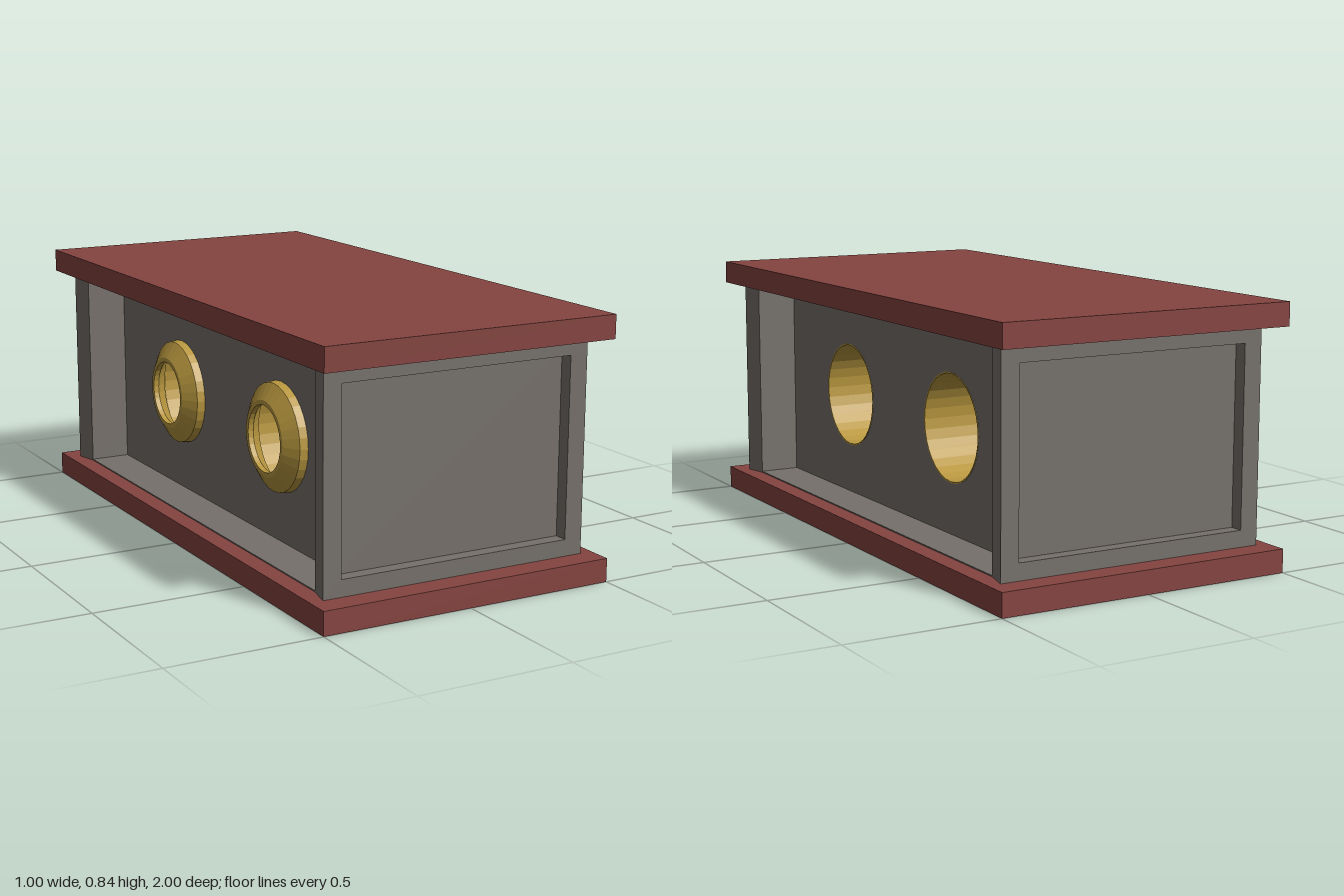
import * as THREE from 'three';

function mat(name, color) {
  const m = new THREE.MeshStandardMaterial({ color, flatShading: true });
  m.name = name;
  return m;
}

export function createModel() {
  const red = mat('brick red', 0x844440);
  const grey = mat('warm grey', 0x75706a);
  const gold = mat('gold', 0xb8973f);
  const model = new THREE.Group();

  const add = (parent, name, geometry, material) => {
    const mesh = new THREE.Mesh(geometry, material);
    mesh.name = name;
    parent.add(mesh);
    return mesh;
  };
  const slab = (name, w, y0, y1, d, material) =>
    add(model, name, new THREE.BoxGeometry(w, y1 - y0, d), material).position.y = (y0 + y1) / 2;
  const rect = (Type, x0, y0, x1, y1) => {
    const p = new Type();
    p.moveTo(x0, y0).lineTo(x1, y0).lineTo(x1, y1).lineTo(x0, y1).closePath();
    return p;
  };

  const Y0 = 0.076, Y1 = 0.764, WALL = 0.303, PORT_Y = 0.422;
  const portZ = [0.375, -0.345];

  // Overhanging base and lid
  slab('basePlate', 1, 0, Y0, 2, red);
  slab('topPlate', 1, Y1, 0.84, 2, red);

  // Thin floor and ceiling linings of the side recesses
  slab('floorLining', 0.88, Y0, Y0 + 0.004, 1.68, grey);
  slab('ceilingLining', 0.88, Y1 - 0.004, Y1, 1.68, grey);

  // Core block, pierced crosswise by two round openings
  const side = rect(THREE.Shape, -0.85, Y0, 0.85, Y1);
  for (const z of portZ) {
    const hole = new THREE.Path();
    hole.absarc(z, PORT_Y, 0.175, 0, Math.PI * 2, true);
    side.holes.push(hole);
  }
  const core = new THREE.ExtrudeGeometry(side, { depth: 2 * WALL, bevelEnabled: false, curveSegments: 32 });
  core.translate(0, 0, -WALL).rotateY(-Math.PI / 2);
  add(model, 'coreBlock', core, grey);

  // End boards: slightly flared sides, with a sunken panel
  const flare = (g) => {
    const p = g.attributes.position;
    for (let i = 0; i < p.count; i++) {
      if (Math.abs(p.getX(i)) < 0.42) continue;
      p.setX(i, Math.sign(p.getX(i)) * (0.44 + 0.018 * (p.getZ(i) - 0.84) / 0.08));
    }
    g.computeVertexNormals();
    return g;
  };
  const frameShape = rect(THREE.Shape, -0.45, Y0, 0.45, Y1);
  frameShape.holes.push(rect(THREE.Path, -0.397, 0.13, 0.397, 0.71));
  const frame = new THREE.ExtrudeGeometry(frameShape, { depth: 0.045, bevelEnabled: false });
  flare(frame.translate(0, 0, 0.875));
  const panel = new THREE.BoxGeometry(0.9, Y1 - Y0, 0.035);
  flare(panel.translate(0, (Y0 + Y1) / 2, 0.8575));
  ['frontEnd', 'backEnd'].forEach((name, i) => {
    const end = new THREE.Group();
    end.name = name;
    end.rotation.y = i * Math.PI;
    add(end, 'endFrame', frame, grey);
    add(end, 'endPanel', panel, grey);
    model.add(end);
  });

  // Tubes through the core, ending in a bevelled nozzle on the -x side
  const profile = [
    [0.107, -0.363], [0.122, -0.363], [0.174, -0.33], [0.177, -WALL], [0.177, WALL + 0.001],
    [0.172, WALL + 0.001], [0.172, -0.3], [0.155, -0.3], [0.107, -0.345], [0.107, -0.363],
  ].map(([r, x]) => new THREE.Vector2(r, x));
  const tube = new THREE.LatheGeometry(profile, 32).rotateZ(-Math.PI / 2);
  for (const z of portZ) add(model, 'portTube', tube, gold).position.set(0, PORT_Y, z);

  return model;
}
